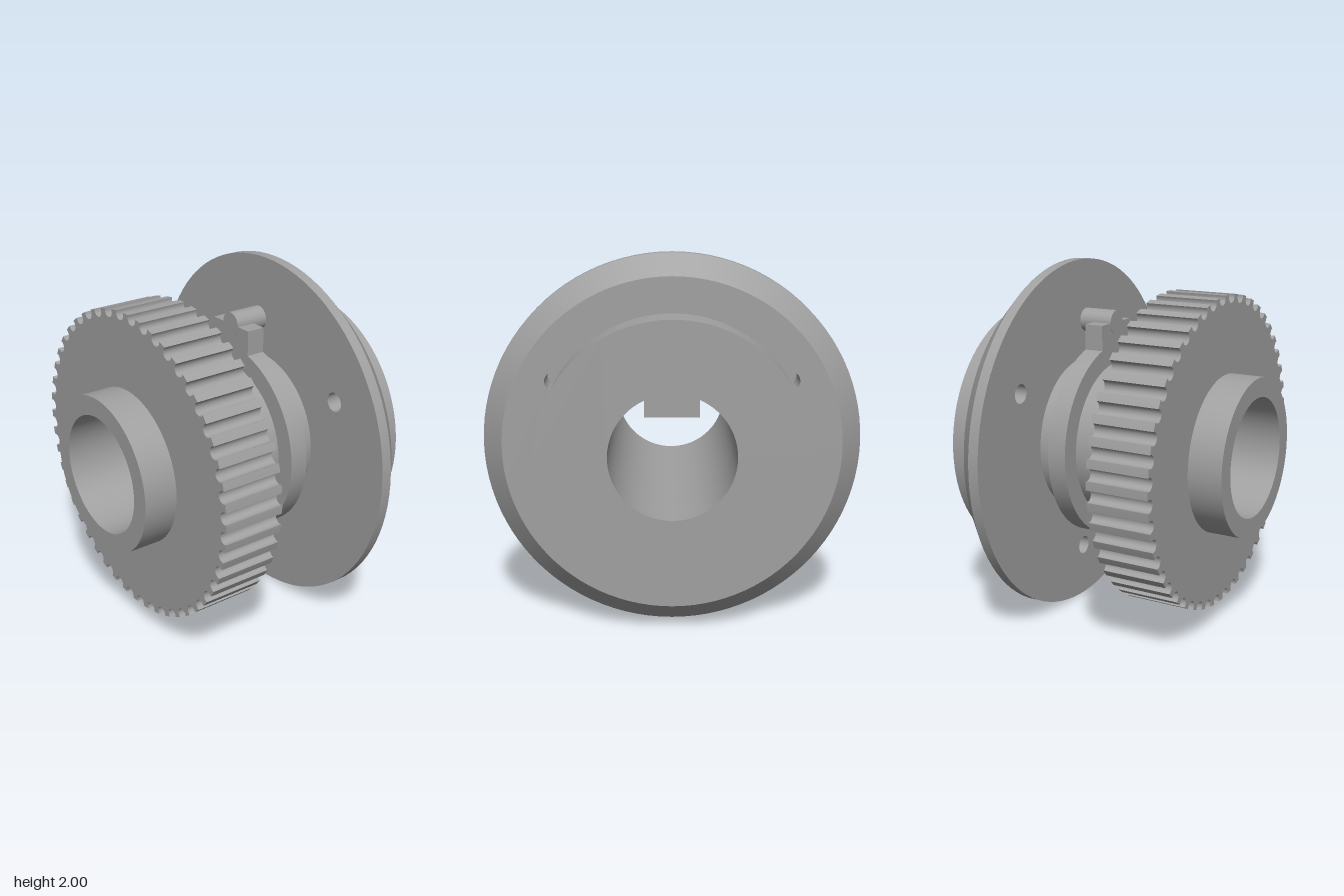
import * as THREE from 'three';
import { toCreasedNormals } from 'three/addons/utils/BufferGeometryUtils.js';

const AXIS_Y = 1;
const BORE = 0.33;

// Points of a circle, anticlockwise
function circle(r, cx = 0, cy = 0, n = 96) {
  return Array.from({ length: n }, (_, i) => {
    const a = (i / n) * Math.PI * 2;
    return new THREE.Vector2(cx + r * Math.cos(a), cy + r * Math.sin(a));
  });
}

// Outline of a disc of radius R with n round notches of radius r centred at distance d
function notchedDisc(R, d, r, n, start, arcSteps, notchSteps) {
  const half = Math.acos((R * R + d * d - r * r) / (2 * R * d));
  const phi = Math.atan2(R * Math.sin(half), R * Math.cos(half) - d);
  const step = (Math.PI * 2) / n;
  const pts = [];
  for (let i = 0; i < n; i++) {
    const a = start + i * step;
    for (let k = 0; k < notchSteps; k++) {
      const t = a - phi - (k / notchSteps) * (Math.PI * 2 - 2 * phi);
      pts.push(new THREE.Vector2(d * Math.cos(a) + r * Math.cos(t), d * Math.sin(a) + r * Math.sin(t)));
    }
    for (let k = 0; k < arcSteps; k++) {
      const t = a + half + (k / arcSteps) * (step - 2 * half);
      pts.push(new THREE.Vector2(R * Math.cos(t), R * Math.sin(t)));
    }
  }
  return pts;
}

// Extrude an outline with holes between two z positions, smooth round the curves
function plate(outline, holes, z0, z1) {
  const shape = new THREE.Shape(outline);
  holes.forEach((h) => shape.holes.push(new THREE.Path(h)));
  const geo = new THREE.ExtrudeGeometry(shape, { depth: z1 - z0, bevelEnabled: false });
  geo.translate(0, 0, z0).scale(100, 100, 100);
  return toCreasedNormals(geo, 0.6).scale(0.01, 0.01, 0.01);
}

export function createModel() {
  const model = new THREE.Group();
  model.name = 'gearHub';
  const steel = new THREE.MeshStandardMaterial({ color: 0xa0a0a0 });
  steel.name = 'steelGrey';

  const add = (name, geo, x = 0, y = 0, z = 0) => {
    const mesh = new THREE.Mesh(geo, steel);
    mesh.name = name;
    mesh.position.set(x, AXIS_Y + y, z);
    model.add(mesh);
  };

  // Hollow shaft
  add('hub', plate(circle(0.437), [circle(BORE)], -0.35, 0.745));

  // Toothed wheel with round grooves
  const pitch = (Math.PI * 2) / 48;
  add('gear', plate(notchedDisc(0.862, 0.85, 0.035, 48, pitch / 2, 3, 12), [circle(0.4)], 0.205, 0.555));

  // Collar with its key block and locating pin
  add('collar', plate(circle(0.547), [circle(0.4)], -0.227, -0.12));
  add('keyBlock', new THREE.BoxGeometry(0.306, 0.575, 0.107), 0, 0.3775, -0.1735);
  add('pin', new THREE.CylinderGeometry(0.066, 0.066, 0.197, 40).rotateX(Math.PI / 2), 0, 0.665, -0.2165);

  // Flange with three drilled holes
  const drill = 0.053, drillRing = 0.7;
  const drillHoles = [30, 150, 270].map((deg) => {
    const a = THREE.MathUtils.degToRad(deg);
    return circle(drill, drillRing * Math.cos(a), drillRing * Math.sin(a), 32);
  });
  add('flange', plate(circle(0.89), [circle(BORE), ...drillHoles], -0.525, -0.352));

  // Bevelled rim round the flange
  const rimProfile = [[0.89, -0.525], [1, -0.412], [1, -0.352], [0.89, -0.352]]
    .map(([r, z]) => new THREE.Vector2(r, z));
  const rim = new THREE.LatheGeometry(rimProfile, 96).rotateX(Math.PI / 2).scale(100, 100, 100);
  add('flangeRim', toCreasedNormals(rim, 0.6).scale(0.01, 0.01, 0.01));

  // Rear boss: the holes run on into its front part
  add('bossNotched', plate(
    notchedDisc(0.702, drillRing, drill, 3, Math.PI / 6, 32, 16), [circle(BORE)], -0.615, -0.525));
  add('bossRear', plate(circle(0.702), [circle(BORE)], -0.745, -0.615));

  return model;
}
